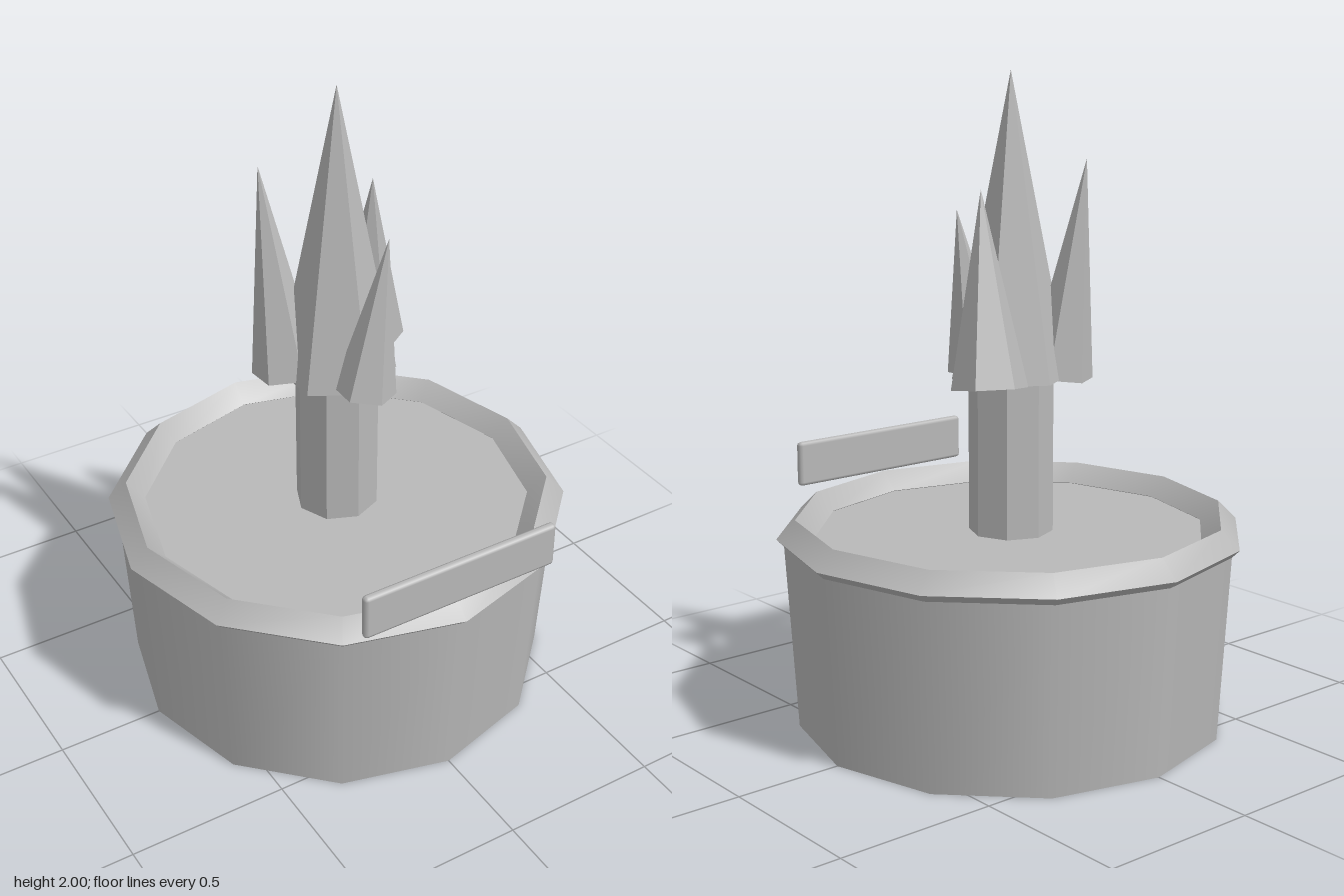
import * as THREE from 'three';
import { toCreasedNormals } from 'three/addons/utils/BufferGeometryUtils.js';
import { RoundedBoxGeometry } from 'three/addons/geometries/RoundedBoxGeometry.js';

export function createModel() {
  const group = new THREE.Group();
  const grey = new THREE.MeshStandardMaterial({ color: 0xb8b8b8 });
  grey.name = 'plain grey';

  const add = (name, geometry, x, y, z) => {
    const mesh = new THREE.Mesh(geometry, grey);
    mesh.name = name;
    mesh.position.set(x, y, z);
    group.add(mesh);
    return mesh;
  };

  // Tapered twelve-sided pot; its top face is the soil
  add('pot', new THREE.CylinderGeometry(0.7, 0.665, 0.6, 12), 0, 0.3, 0);

  // Diamond-section rim: smooth around, sharp along its ridges
  const rim = new THREE.TorusGeometry(0.664, 0.058, 4, 12).rotateX(-Math.PI / 2);
  add('rim', toCreasedNormals(rim, 0.6), 0, 0.602, 0);

  // Octagonal trunk
  const trunk = new THREE.CylinderGeometry(0.13, 0.13, 0.5, 8);
  add('trunk', toCreasedNormals(trunk, 0.6), 0, 0.85, 0);

  // Hexagonal spikes, each leaning from its base centre to its tip
  const up = new THREE.Vector3(0, 1, 0);
  const spikes = [
    ['mainSpike', 0.181, [0, 1.08, 0], [0, 2, 0]],
    ['leftSpike', 0.115, [0.186, 1.085, -0.125], [0.148, 1.66, -0.04]],
    ['rightSpike', 0.105, [-0.135, 1.08, -0.07], [-0.178, 1.74, -0.14]],
    ['frontSpike', 0.095, [0, 1.087, 0.16], [0.068, 1.58, 0.174]],
  ];
  for (const [name, radius, base, tip] of spikes) {
    const from = new THREE.Vector3(...base);
    const axis = new THREE.Vector3(...tip).sub(from);
    const height = axis.length();
    const cone = new THREE.ConeGeometry(radius, height, 6).translate(0, height / 2, 0);
    add(name, toCreasedNormals(cone, 0.6), ...base)
      .quaternion.setFromUnitVectors(up, axis.normalize());
  }

  // Thin plaque standing on the front of the rim
  add('plaque', new RoundedBoxGeometry(0.66, 0.146, 0.028, 1, 0.012), 0, 0.73, 0.681);

  return group;
}
